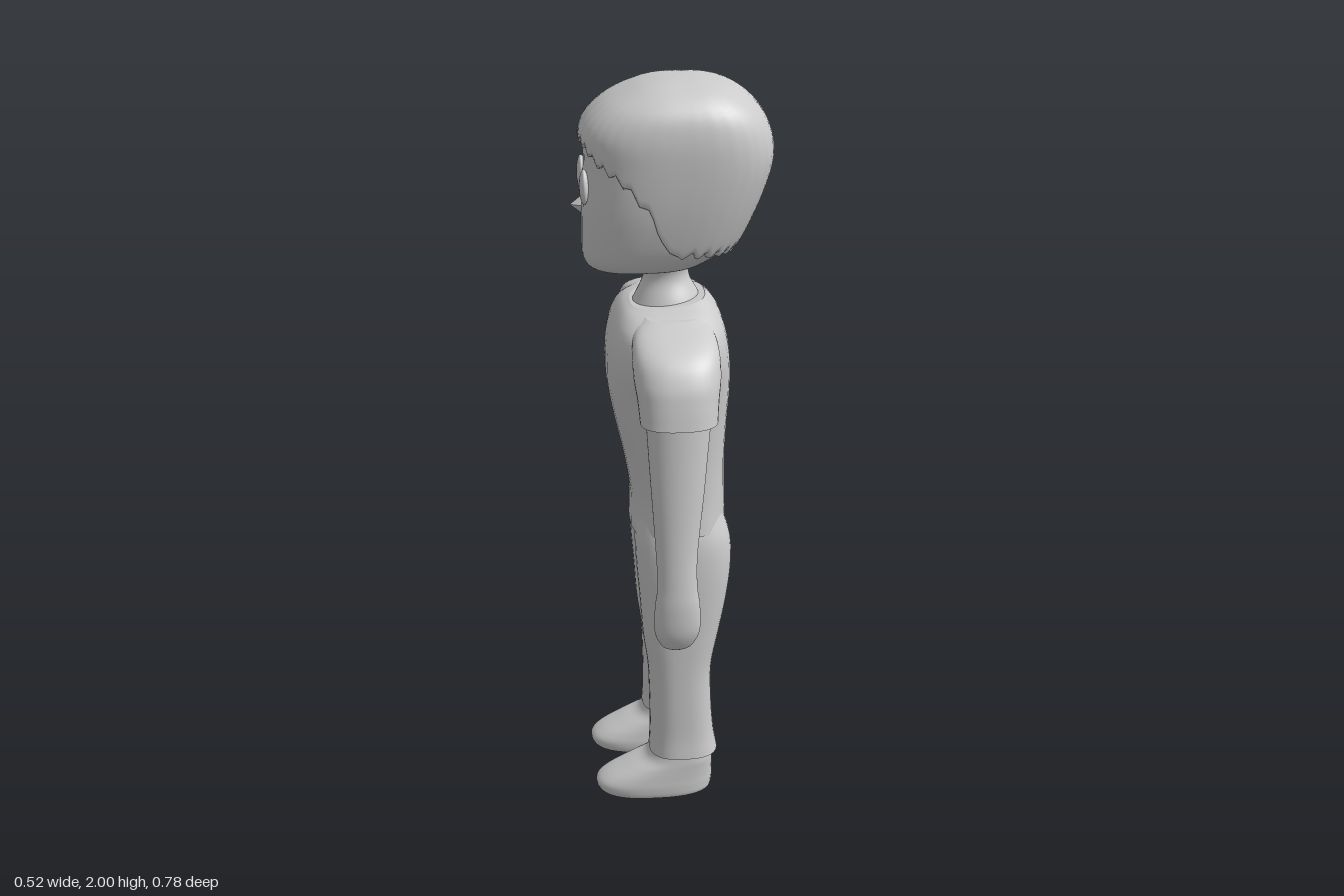
import * as THREE from 'three';

const material = new THREE.MeshStandardMaterial({ color: 0xcccccc });

// Smooth section through rows of [y, xFront, xBack, zInner, zOuter], listed upward
function profile(rows) {
  const a = new THREE.CatmullRomCurve3(rows.map(r => new THREE.Vector3(r[0], r[1], r[2])), false, 'catmullrom');
  const b = new THREE.CatmullRomCurve3(rows.map(r => new THREE.Vector3(r[3], r[4], 0)), false, 'catmullrom');
  return t => {
    const p = a.getPoint(t), q = b.getPoint(t);
    return { y: p.x, cx: (p.y + p.z) / 2, rx: (p.z - p.y) / 2, cz: (q.x + q.y) / 2, rz: (q.y - q.x) / 2 };
  };
}

// Point on a rounded-rectangle section
function onSection(s, angle, power, scale = 1) {
  const f = c => Math.sign(c) * Math.pow(Math.abs(c), 2 / power);
  return new THREE.Vector3(
    s.cx + scale * s.rx * f(Math.cos(angle)), s.y, s.cz + scale * s.rz * f(Math.sin(angle)));
}

// Closed rings stacked upward, with flat end caps
function ringSurface(name, sides, rings, point, capBottom = true) {
  const pos = [], index = [];
  for (let j = 0; j <= rings; j++)
    for (let i = 0; i < sides; i++) pos.push(...point((i / sides) * Math.PI * 2, j / rings, j).toArray());
  for (let j = 0; j < rings; j++)
    for (let i = 0; i < sides; i++) {
      const k = (i + 1) % sides, a = j * sides + i, b = j * sides + k;
      index.push(a, a + sides, b, b, a + sides, b + sides);
    }
  for (const j of capBottom ? [0, rings] : [rings]) {
    const base = pos.length / 3, c = [0, 0, 0];
    for (let i = 0; i < sides; i++)
      for (let d = 0; d < 3; d++) {
        const value = pos[(j * sides + i) * 3 + d];
        pos.push(value);
        c[d] += value / sides;
      }
    pos.push(...c);
    for (let i = 0; i < sides; i++) {
      const a = base + i, b = base + (i + 1) % sides;
      index.push(base + sides, j ? b : a, j ? a : b);
    }
  }
  const g = new THREE.BufferGeometry();
  g.setAttribute('position', new THREE.Float32BufferAttribute(pos, 3));
  g.setIndex(index);
  g.computeVertexNormals();
  const mesh = new THREE.Mesh(g, material);
  mesh.name = name;
  return mesh;
}

function loft(name, rows, { power = 2.3, side = 1, warp } = {}) {
  const at = profile(rows);
  return ringSurface(name, 40, (rows.length - 1) * 5, (angle, v) => {
    const s = at(v);
    s.cz *= side;
    const p = onSection(s, angle, power);
    if (warp) warp(p, v);
    return p;
  });
}

function ball(name, x, y, z, rx, ry, rz) {
  const m = new THREE.Mesh(new THREE.SphereGeometry(1, 24, 16), material);
  m.position.set(x, y, z);
  m.scale.set(rx, ry, rz);
  m.name = name;
  return m;
}

// Hair cap whose lower edge follows a jagged hairline
function makeHair() {
  const at = profile([
    [1.54, -0.2, 0.14, -0.14, 0.14], [1.6, -0.215, 0.18, -0.16, 0.16], [1.7, -0.23, 0.225, -0.178, 0.178],
    [1.8, -0.237, 0.255, -0.186, 0.186], [1.88, -0.232, 0.245, -0.185, 0.185],
    [1.94, -0.18, 0.205, -0.168, 0.168], [1.98, -0.1, 0.145, -0.125, 0.125],
    [1.996, -0.04, 0.08, -0.07, 0.07], [2, 0.01, 0.03, -0.01, 0.01]]);
  const line = [[-0.25, 1.87], [-0.225, 1.85], [-0.2, 1.82], [-0.13, 1.77], [-0.05, 1.68], [0, 1.58], [0.3, 1.575]];
  const widest = at(0.375);
  const edge = angle => {
    const x = onSection(widest, angle, 2.8).x;
    const i = Math.max(1, line.findIndex(p => p[0] >= x));
    const [a, b] = [line[i - 1], line[i]];
    const saw = Math.abs(((angle * 32 / (Math.PI * 2)) % 1) - 0.5) - 0.25;
    const y = THREE.MathUtils.mapLinear(x, a[0], b[0], a[1], b[1]) + saw * 0.04;
    let lo = 0, hi = 1;
    for (let n = 0; n < 20; n++) {
      const mid = (lo + hi) / 2;
      if (at(mid).y < y) lo = mid; else hi = mid;
    }
    return lo;
  };
  const rings = 30;
  return ringSurface('hair', 128, rings, (angle, v, j) => {
    const t0 = edge(angle), t = j ? t0 + (1 - t0) * (j - 1) / (rings - 1) : t0;
    return onSection(at(t), angle, 2.8, j ? 1 : 0.88);
  }, false);
}

export function createModel() {
  const model = new THREE.Group();

  // Head, hair and face
  const head = new THREE.Group();
  head.name = 'head';
  head.add(loft('skull', [
    [1.512, -0.16, 0.0, -0.06, 0.06], [1.518, -0.205, 0.05, -0.1, 0.1], [1.54, -0.228, 0.1, -0.125, 0.125],
    [1.59, -0.232, 0.16, -0.148, 0.148], [1.68, -0.23, 0.2, -0.168, 0.168], [1.78, -0.224, 0.235, -0.175, 0.175],
    [1.87, -0.215, 0.22, -0.17, 0.17], [1.94, -0.13, 0.15, -0.13, 0.13], [1.96, -0.05, 0.07, -0.05, 0.05]], { power: 2.8 }));
  head.add(makeHair());
  const nose = new THREE.Mesh(new THREE.ConeGeometry(0.028, 0.045, 4).toNonIndexed(), material);
  nose.geometry.computeVertexNormals();
  nose.rotation.z = Math.PI / 2;
  nose.position.set(-0.237, 1.675, 0);
  nose.scale.set(1.3, 1, 0.8);
  nose.name = 'nose';
  head.add(nose);
  for (const s of [1, -1]) head.add(ball('eye', -0.226, 1.74, s * 0.065, 0.012, 0.045, 0.035));
  model.add(head);

  model.add(loft('neck', [
    [1.38, -0.12, 0.09, -0.1, 0.1], [1.43, -0.095, 0.07, -0.08, 0.08], [1.48, -0.075, 0.045, -0.057, 0.057],
    [1.52, -0.085, 0.05, -0.065, 0.065], [1.56, -0.11, 0.09, -0.1, 0.1]], { power: 2 }));

  // Shirt body with a drooping hem and tilted collar
  model.add(loft('shirt', [
    [0.815, -0.115, 0.14, -0.195, 0.195], [0.9, -0.115, 0.138, -0.187, 0.187], [1.0, -0.132, 0.137, -0.19, 0.19],
    [1.1, -0.155, 0.142, -0.2, 0.2], [1.2, -0.173, 0.149, -0.215, 0.215], [1.29, -0.173, 0.146, -0.24, 0.24],
    [1.36, -0.158, 0.132, -0.235, 0.235], [1.4, -0.135, 0.11, -0.18, 0.18], [1.425, -0.11, 0.085, -0.1, 0.1]], {
    power: 2.7,
    warp: (p, v) => {
      p.y += 0.03 * ((p.z / 0.195) ** 2 - 1) * (1 - v) ** 6 + 0.1 * p.x * v ** 10;
    } }));

  model.add(loft('hips', [
    [0.755, -0.05, 0.08, -0.06, 0.06], [0.79, -0.095, 0.125, -0.15, 0.15], [0.87, -0.1, 0.125, -0.175, 0.175]], { power: 2.7 }));

  for (const side of [1, -1]) {
    // Sleeve, arm and hand
    const arm = new THREE.Group();
    arm.name = side > 0 ? 'armPositiveZ' : 'armNegativeZ';
    arm.add(loft('sleeve', [
      [1.195, -0.108, 0.088, 0.235, 0.372], [1.25, -0.113, 0.093, 0.2, 0.362], [1.3, -0.12, 0.1, 0.16, 0.348],
      [1.35, -0.12, 0.1, 0.12, 0.315], [1.385, -0.11, 0.09, 0.08, 0.255], [1.41, -0.08, 0.06, 0.06, 0.17]],
    { side, power: 2.4 }));
    arm.add(loft('forearm', [
      [0.572, -0.035, -0.005, 0.345, 0.36], [0.585, -0.06, 0.02, 0.333, 0.372], [0.63, -0.078, 0.04, 0.325, 0.388],
      [0.7, -0.077, 0.04, 0.323, 0.392], [0.76, -0.07, 0.033, 0.322, 0.388], [0.85, -0.073, 0.035, 0.305, 0.38],
      [1.0, -0.082, 0.052, 0.28, 0.368], [1.1, -0.088, 0.062, 0.262, 0.36], [1.23, -0.095, 0.075, 0.24, 0.35]],
    { side, power: 2 }));
    arm.add(loft('thumb', [
      [0.648, -0.052, -0.04, 0.304, 0.31], [0.66, -0.062, -0.03, 0.297, 0.317], [0.7, -0.065, -0.022, 0.3, 0.325],
      [0.74, -0.06, -0.01, 0.308, 0.345], [0.79, -0.045, 0.0, 0.325, 0.36]], { side, power: 2 }));
    model.add(arm);

    // Trouser leg and shoe
    const leg = new THREE.Group();
    leg.name = side > 0 ? 'legPositiveZ' : 'legNegativeZ';
    leg.add(loft('trouserLeg', [
      [0.138, -0.075, 0.113, 0.038, 0.209], [0.2, -0.072, 0.103, 0.04, 0.203], [0.3, -0.073, 0.096, 0.038, 0.202],
      [0.4, -0.077, 0.096, 0.034, 0.202], [0.5, -0.09, 0.115, 0.027, 0.203], [0.6, -0.097, 0.135, 0.018, 0.203],
      [0.7, -0.105, 0.148, 0.009, 0.201], [0.78, -0.108, 0.146, 0.0, 0.194], [0.85, -0.1, 0.125, 0.0, 0.177]],
    { side, power: 2.6 }));
    leg.add(loft('shoe', [
      [0.004, -0.175, 0.07, 0.06, 0.18], [0.014, -0.21, 0.094, 0.042, 0.196], [0.04, -0.222, 0.1, 0.038, 0.2],
      [0.065, -0.195, 0.101, 0.04, 0.199], [0.095, -0.135, 0.101, 0.043, 0.197], [0.12, -0.085, 0.1, 0.045, 0.195],
      [0.16, -0.065, 0.095, 0.05, 0.19]], { side, power: 2.5, warp: p => { p.y = Math.max(0, p.y - 0.004); } }));
    model.add(leg);
  }
  return model;
}
